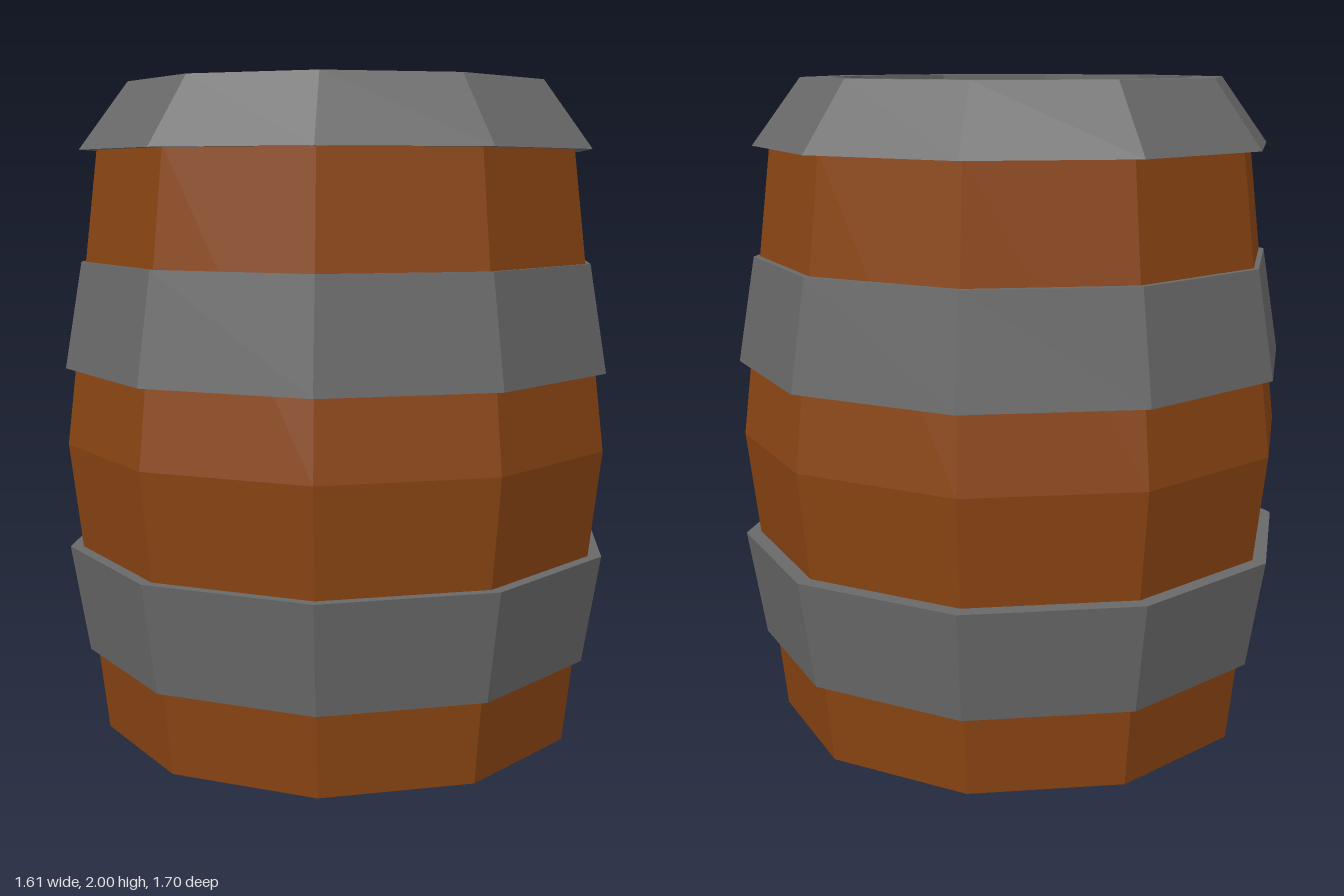
import * as THREE from 'three';

const SIDES = 10;
const wood = new THREE.MeshStandardMaterial({ color: 0x8b4513, flatShading: true });
const iron = new THREE.MeshStandardMaterial({ color: 0x696969, flatShading: true });

// Ten-sided turned part; profile is [radius, y], counter-clockwise.
function turned(name, profile, material, z) {
  const points = profile.map(([r, y]) => new THREE.Vector2(r, y));
  const mesh = new THREE.Mesh(new THREE.LatheGeometry(points, SIDES), material);
  mesh.name = name;
  mesh.position.z = z;
  return mesh;
}

// Flat ten-sided board lying at height y, facing up or down.
function board(name, radius, y, up, z) {
  const geometry = new THREE.CircleGeometry(radius, SIDES, Math.PI / 2);
  geometry.rotateX(up ? -Math.PI / 2 : Math.PI / 2);
  const mesh = new THREE.Mesh(geometry, wood);
  mesh.name = name;
  mesh.position.set(0, y, z);
  return mesh;
}

export function createModel() {
  const barrel = new THREE.Group();
  barrel.name = 'barrel';

  // Bulging wooden body with a closed underside
  barrel.add(turned('body', [[0, 0.018], [0.737, 0.018], [0.842, 0.92], [0.737, 1.81]], wood, 0.007));

  // Bottom and top boards
  barrel.add(board('bottomBoard', 0.695, 0, false, 0.007));
  barrel.add(board('topBoard', 0.56, 1.89, true, 0.008));

  // Two sloping hoops, wide edges towards the middle
  barrel.add(turned('lowerHoop',
    [[0.75, 0.27], [0.793, 0.27], [0.847, 0.6], [0.79, 0.6], [0.75, 0.27]], iron, -0.002));
  barrel.add(turned('upperHoop',
    [[0.79, 1.15], [0.847, 1.15], [0.793, 1.47], [0.75, 1.47], [0.79, 1.15]], iron, -0.002));

  // Chamfered rim around the recessed top board
  barrel.add(turned('topRim',
    [[0.555, 1.8], [0.79, 1.8], [0.642, 2], [0.555, 2], [0.555, 1.8]], iron, 0.009));

  return barrel;
}
